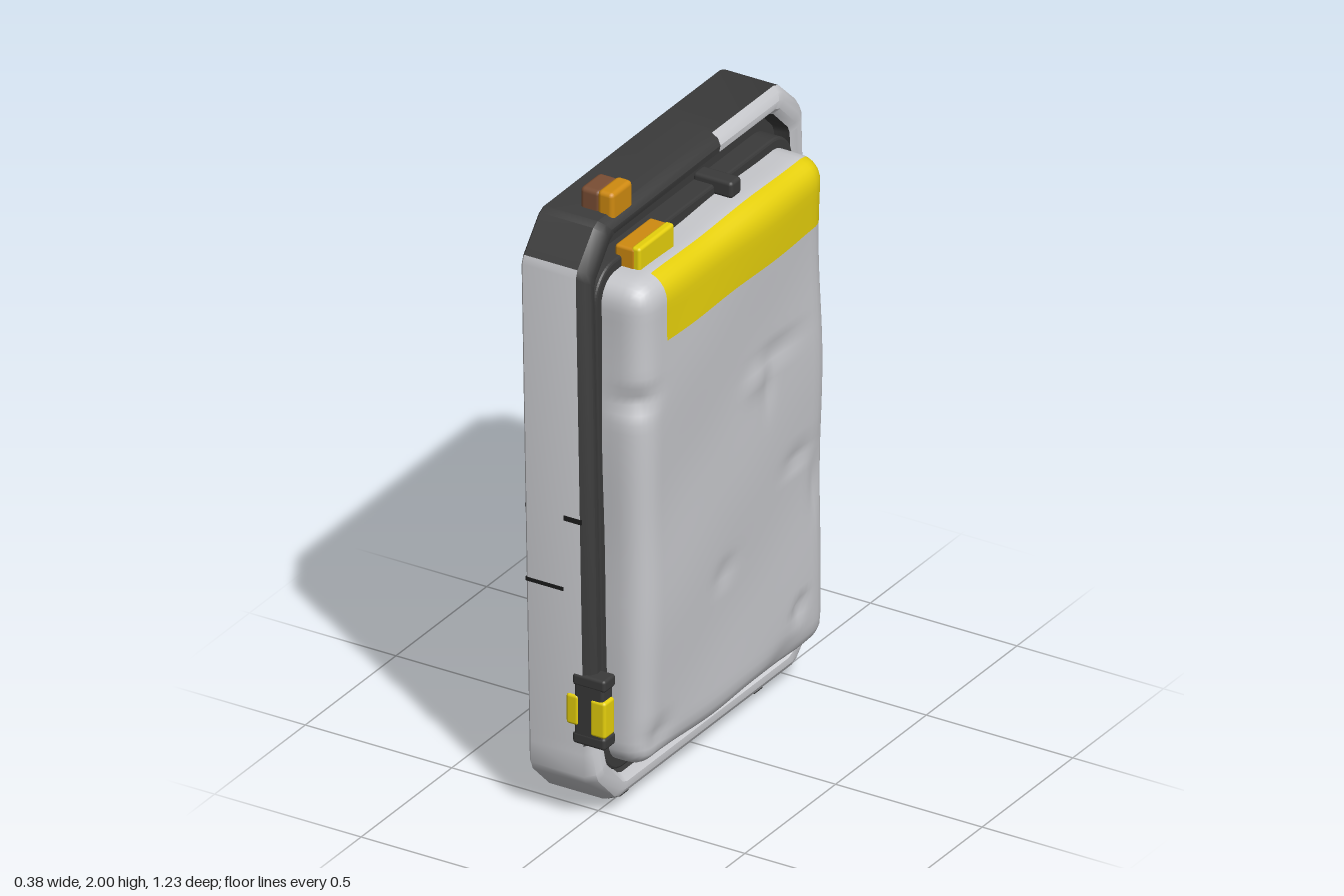
import * as THREE from 'three';
import { mergeVertices, toCreasedNormals } from 'three/addons/utils/BufferGeometryUtils.js';
import { RoundedBoxGeometry } from 'three/addons/geometries/RoundedBoxGeometry.js';

const paint = (name, color) => {
  const m = new THREE.MeshStandardMaterial({ color });
  m.name = name;
  return m;
};

// The case leans back slightly: x shifts with height
const lean = (y) => 0.0175 * (1 - y);

export function createModel() {
  const grey = paint('light grey', 0xc6c7cb);
  const dark = paint('charcoal', 0x3a3a3a);
  const black = paint('crack black', 0x1c1c1c);
  const yellow = paint('yellow', 0xe6d00c);
  const orange = paint('orange', 0xcf8a10);
  const brown = paint('brown', 0x7a4e34);

  const group = new THREE.Group();
  const add = (name, geometry, material, x = 0, y = 0, z = 0) => {
    const mesh = new THREE.Mesh(geometry, material);
    mesh.name = name;
    mesh.position.set(x, y, z);
    group.add(mesh);
    return mesh;
  };
  // Box given by its limits on each axis
  const block = (name, material, [x0, x1], [y0, y1], [z0, z1], r = 0.01) =>
    add(name, new RoundedBoxGeometry(x1 - x0, y1 - y0, z1 - z0, 2, r), material,
      (x0 + x1) / 2, (y0 + y1) / 2, (z0 + z1) / 2);

  // Frame: chamfered outline (z, y), lofted from the back to the recess floor
  const corners = [
    [0.61, 1.81], [0.5, 1.93], [-0.16, 1.935], [-0.5, 1.935], [-0.61, 1.83], [-0.61, 0.14],
    [-0.5, 0.04], [0.5, 0.04], [0.61, 0.15], [0.61, 0.25],
  ].map((c) => new THREE.Vector2(...c));
  const outline = [];
  corners.forEach((c, i) => {
    for (const other of [corners.at(i - 1), corners[(i + 1) % corners.length]]) {
      outline.push(c.clone().add(other.clone().sub(c).setLength(0.015)));
    }
  });
  const yMid = 0.985;
  const steps = [[-0.185, 0.008], [-0.177, 0], [0.005, 0], [0.027, 0.012], [0.038, 0.03],
    [0.036, 0.05], [0.02, 0.066], [-0.03, 0.072]];
  const rings = steps.map(([x, inset]) => outline.map((p) => {
    const y = yMid + (p.y - yMid) * (1 - inset / 0.945);
    const lip = x > 0.02 && p.y < 0.2 ? 0.012 : 0;
    return new THREE.Vector3(x + lip + lean(y), y, p.x * (1 - inset / 0.61));
  }));
  const tris = { grey: [], dark: [] };
  const face = (key, ...pts) => pts.forEach((p) => tris[key].push(p.x, p.y, p.z));
  const n = outline.length;
  for (let i = 0; i < n; i++) {
    const k = (i + 1) % n;
    const m = outline[i].clone().add(outline[k]).multiplyScalar(0.5);
    const darkTop = m.y > 1.81 && m.x > -0.5;
    const darkRim = (m.x > 0.53 && m.y > 0.25) || (m.y > 1.8 && m.x > -0.16);
    for (let j = 0; j < rings.length - 1; j++) {
      const key = (j < 2 ? darkTop : darkRim) || j === 6 ? 'dark' : 'grey';
      const [a, b, c, d] = [rings[j][i], rings[j][k], rings[j + 1][k], rings[j + 1][i]];
      face(key, a, d, b);
      face(key, d, c, b);
    }
    const last = rings.at(-1);
    face('dark', new THREE.Vector3(-0.185 + lean(yMid), yMid, 0), rings[0][i], rings[0][k]);
    face('dark', new THREE.Vector3(-0.03 + lean(yMid), yMid, 0), last[k], last[i]);
  }
  for (const [key, material, name] of [['grey', grey, 'frameShell'], ['dark', dark, 'frameBackAndTrim']]) {
    const g = new THREE.BufferGeometry();
    g.setAttribute('position', new THREE.Float32BufferAttribute(tris[key], 3));
    add(name, toCreasedNormals(g, 0.6), material);
  }

  // Gasket: rounded ring around the door
  const roundRect = (Type, z0, z1, y0, y1, r) => {
    const s = new Type();
    s.absarc(z1 - r, y1 - r, r, 0, Math.PI / 2);
    s.absarc(z0 + r, y1 - r, r, Math.PI / 2, Math.PI);
    s.absarc(z0 + r, y0 + r, r, Math.PI, Math.PI * 1.5);
    s.absarc(z1 - r, y0 + r, r, Math.PI * 1.5, Math.PI * 2);
    s.closePath();
    return s;
  };
  const ring = roundRect(THREE.Shape, -0.54, 0.532, 0.145, 1.785, 0.1);
  ring.holes.push(roundRect(THREE.Path, -0.47, 0.47, 0.21, 1.72, 0.07));
  const gasket = new THREE.ExtrudeGeometry(ring, {
    depth: 0.06, bevelSize: 0.008, bevelThickness: 0.008, bevelSegments: 2, curveSegments: 8,
  });
  gasket.rotateY(Math.PI / 2);
  gasket.scale(1, 1, 1);
  gasket.translate(-0.03, 0, 0.008);
  const gp = gasket.attributes.position;
  for (let i = 0; i < gp.count; i++) gp.setX(i, gp.getX(i) + lean(gp.getY(i)));
  gasket.computeVertexNormals();
  add('gasket', gasket, dark);

  // Door: rounded box with dents, painted band across the top of its face
  const size = new THREE.Vector3(0.255, 1.59, 1.03);
  const centre = new THREE.Vector3(0.0475, 0.965, 0.015);
  const r = 0.08;
  let door = new THREE.BoxGeometry(size.x, size.y, size.z, 9, 53, 40);
  door.deleteAttribute('uv');
  door.deleteAttribute('normal');
  door = mergeVertices(door);
  // Dents: x, y, z, spread along y, spread along z, depth
  const dents = [
    [0.17, 1.24, -0.2, 0.025, 0.12, 0.012], [0.17, 1.14, -0.16, 0.07, 0.025, 0.008],
    [0.17, 0.84, -0.32, 0.02, 0.07, 0.014], [0.17, 0.64, 0.08, 0.03, 0.05, 0.01],
    [0.17, 0.34, -0.32, 0.02, 0.035, 0.02], [0.13, 1.38, 0.5, 0.035, 0.05, 0.03],
    [0.15, 0.26, 0.44, 0.04, 0.06, 0.02], [0.17, 0.72, -0.42, 0.1, 0.02, 0.012],
    [0.15, 0.23, -0.25, 0.03, 0.08, 0.012], [0.17, 1.2, -0.1, 0.04, 0.06, -0.01],
  ];
  const inner = size.clone().multiplyScalar(0.5).subScalar(r);
  const pos = door.attributes.position;
  const p = new THREE.Vector3();
  for (let i = 0; i < pos.count; i++) {
    p.fromBufferAttribute(pos, i);
    const core = p.clone().clamp(inner.clone().negate(), inner);
    const dir = p.clone().sub(core).normalize();
    p.copy(core).addScaledVector(dir, r).add(centre);
    let push = 0.003 * Math.sin(p.y * 9 + p.z * 5) + 0.003 * Math.sin(p.z * 13 - p.y * 6 + 1);
    for (const [x, y, z, sy, sz, depth] of dents) {
      push -= depth * Math.exp(-(((p.x - x) / 0.06) ** 2) - ((p.y - y) / sy) ** 2 - ((p.z - z) / sz) ** 2);
    }
    p.addScaledVector(dir, push);
    pos.setXYZ(i, p.x, p.y, p.z);
  }
  const plain = [], band = [];
  const index = door.index.array;
  for (let i = 0; i < index.length; i += 3) {
    const t = [index[i], index[i + 1], index[i + 2]];
    const mean = (get) => t.reduce((s, v) => s + get.call(pos, v), 0) / 3;
    const painted = mean(pos.getY) > 1.55 && mean(pos.getZ) < 0.402 && mean(pos.getX) > 0.115;
    (painted ? band : plain).push(...t);
  }
  door.setIndex([...plain, ...band]);
  door.clearGroups();
  door.addGroup(0, plain.length, 0);
  door.addGroup(plain.length, band.length, 1);
  door.computeVertexNormals();
  add('door', door, [grey, yellow]);

  // Tab on top of the door
  block('doorTab', orange, [0, 0.07], [1.74, 1.825], [0.215, 0.412]);
  block('doorTabFace', yellow, [0.055, 0.086], [1.745, 1.83], [0.217, 0.41]);

  // Button on top of the case
  block('buttonRear', brown, [-0.105, -0.035], [1.9, 1.995], [0.325, 0.435], 0.015);
  block('buttonFront', orange, [-0.045, 0.01], [1.9, 2], [0.323, 0.437], 0.015);

  // Small stop behind the door's top edge
  block('topStop', dark, [-0.05, 0.085], [1.76, 1.815], [-0.155, -0.098], 0.012);

  // Side latch with two pads
  block('latchBody', dark, [-0.015, 0.085], [0.28, 0.49], [0.555, 0.613]);
  for (const y of [0.29, 0.48]) block('latchEnd', dark, [-0.02, 0.092], [y - 0.02, y + 0.02], [0.55, 0.614]);
  block('latchRearPad', yellow, [-0.04, 0.003], [0.33, 0.43], [0.56, 0.617]);
  block('latchFrontPad', yellow, [0.042, 0.095], [0.31, 0.43], [0.56, 0.617]);

  // Feet
  for (const z of [-0.37, 0.37]) {
    const foot = new THREE.CylinderGeometry(0.07, 0.055, 0.05, 8);
    foot.rotateY(Math.PI / 8);
    foot.scale(0.75, 1, 1);
    add('foot', foot, dark, -0.03, 0.025, z);
  }

  // Cracks in the case walls
  const crack = (x, y, z, w, h, d) => add('crack', new THREE.BoxGeometry(w, h, d), black, x, y, z);
  crack(-0.115, 0.765, 0.609, 0.13, 0.012, 0.006);
  crack(-0.02, 1.0, 0.609, 0.06, 0.016, 0.006);
  crack(-0.09, 1.31, -0.609, 0.19, 0.012, 0.006);
  crack(-0.185, 1.0, 0.53, 0.006, 0.012, 0.14);
  return group;
}
